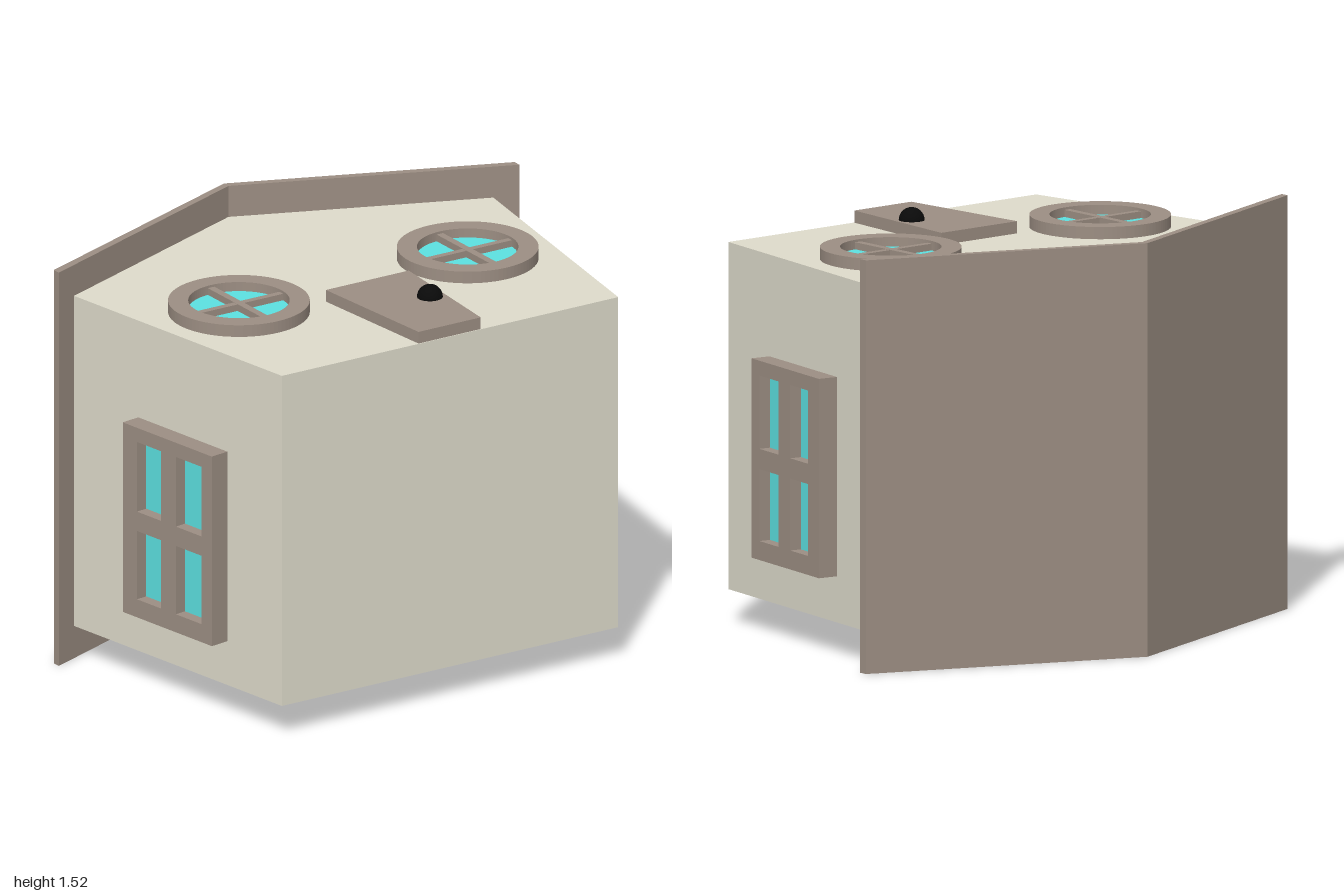
import * as THREE from 'three';

const mat = (color) => new THREE.MeshStandardMaterial({ color });

// A closed outline from [x, y] pairs
function outline(points, Type = THREE.Shape) {
  return new Type(points.map(([x, y]) => new THREE.Vector2(x, y)));
}

function rect(x0, x1, y0, y1, Type = THREE.Shape) {
  return outline([[x0, y0], [x1, y0], [x1, y1], [x0, y1]], Type);
}

function extrude(shape, depth) {
  return new THREE.ExtrudeGeometry(shape, { depth, bevelEnabled: false, curveSegments: 48 });
}

// Extrudes a facade shape (x, -z) upwards from y0 to y1
function slab(shape, y0, y1) {
  return extrude(shape, y1 - y0).rotateX(-Math.PI / 2).translate(0, y0, 0);
}

export function createModel() {
  const house = new THREE.Group();
  house.name = 'house';
  const wallMat = mat(0xdedbcb), trimMat = mat(0x9c8e83);
  const glassMat = mat(0x5ce0e0), knobMat = mat(0x0a0a0a);

  function add(parent, name, geometry, material) {
    const mesh = new THREE.Mesh(geometry, material);
    mesh.name = name;
    parent.add(mesh);
    return mesh;
  }

  // The house lies on its back: facade faces +y, gable peak points to -z
  const face = 1.405, trimTop = 1.45;
  const walls = outline([[-0.73, -0.745], [0.73, -0.745], [0.91, 0.351], [0, 0.715], [-0.91, 0.351]]);
  add(house, 'walls', slab(walls, 0.125, face), wallMat);

  // Thin pitched roof overhanging on all sides
  const roof = outline([[-1, 0.315], [0, 0.715], [1, 0.315], [1, 0.348], [0, 0.745], [-1, 0.348]]);
  add(house, 'roof', slab(roof, 0, 1.525), trimMat);

  // Tapered door with a round knob
  const door = outline([[-0.135, -0.742], [0.135, -0.742], [0.18, -0.2], [-0.18, -0.2]]);
  add(house, 'door', slab(door, face, trimTop), trimMat);
  add(house, 'doorKnob', new THREE.SphereGeometry(0.047, 32, 20), knobMat).position.set(0.097, trimTop, 0.465);

  // Round facade windows: ring, glass and crossed bars
  for (const [name, x] of [['rightRoundWindow', -0.5], ['leftRoundWindow', 0.493]]) {
    const win = new THREE.Group();
    win.name = name;
    win.position.set(x, 0, 0.113);
    const ring = new THREE.Shape().absarc(0, 0, 0.257, 0, Math.PI * 2);
    ring.holes.push(new THREE.Path().absarc(0, 0, 0.184, 0, Math.PI * 2, true));
    add(win, 'windowRing', slab(ring, face, trimTop), trimMat);
    const glass = new THREE.CylinderGeometry(0.19, 0.19, 0.01, 48);
    add(win, 'glass', glass, glassMat).position.y = face + 0.005;
    add(win, 'barAcross', new THREE.BoxGeometry(0.37, 0.035, 0.025), trimMat).position.y = face + 0.0175;
    add(win, 'barUpright', new THREE.BoxGeometry(0.028, 0.036, 0.37), trimMat).position.y = face + 0.018;
    house.add(win);
  }

  // Four-pane windows standing out from the slanted side walls
  const slant = Math.atan2(0.18, 1.096);
  for (const side of [1, -1]) {
    const win = new THREE.Group();
    win.name = side > 0 ? 'leftSideWindow' : 'rightSideWindow';
    win.position.set(side * 0.816, 0, 0.2225);
    win.rotation.y = side * (Math.PI / 2 - slant);
    const frame = rect(-0.238, 0.238, 0.295, 1.03);
    for (const [u0, u1] of [[-0.183, -0.046], [0.035, 0.162]]) {
      const us = [side * u0, side * u1].sort((a, b) => a - b);
      for (const [y0, y1] of [[0.365, 0.63], [0.705, 0.975]]) {
        frame.holes.push(rect(us[0], us[1], y0, y1, THREE.Path));
      }
    }
    add(win, 'windowFrame', extrude(frame, 0.076), trimMat);
    add(win, 'glass', new THREE.BoxGeometry(0.44, 0.7, 0.03), glassMat).position.set(0, 0.6625, 0.016);
    house.add(win);
  }

  return house;
}
